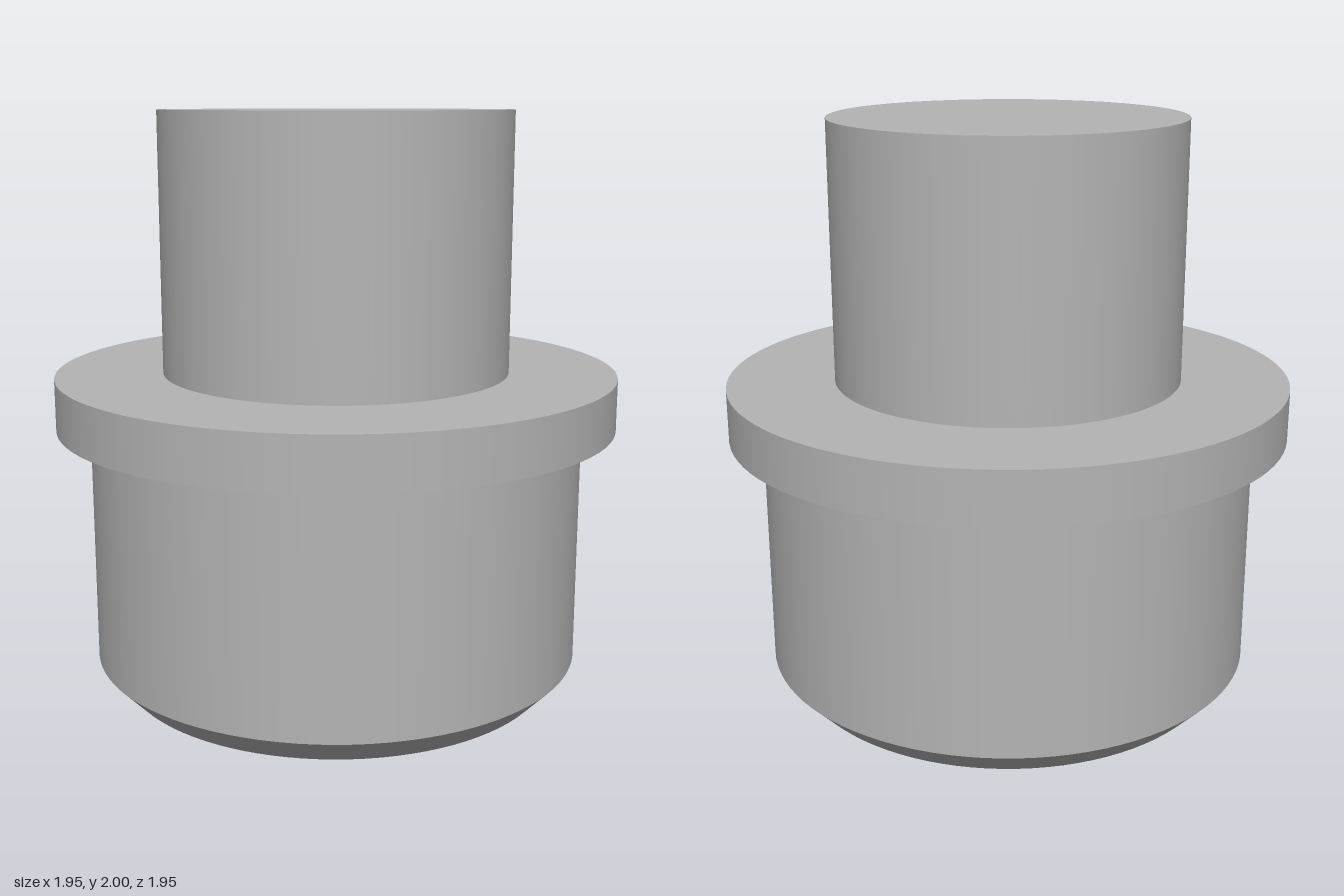
import * as THREE from 'three';
import { mergeGeometries } from 'three/addons/utils/BufferGeometryUtils.js';

const SEGMENTS = 96;

// Revolve each profile edge separately so rims stay crisp and walls stay smooth
function turned(name, profile, material) {
  const bands = profile.slice(1).map((end, i) =>
    new THREE.LatheGeometry(
      [new THREE.Vector2(...profile[i]), new THREE.Vector2(...end)], SEGMENTS));
  const mesh = new THREE.Mesh(mergeGeometries(bands), material);
  mesh.name = name;
  return mesh;
}

export function createModel() {
  const group = new THREE.Group();
  group.name = 'flangedPlug';
  const steel = new THREE.MeshStandardMaterial({ color: 0xb4b4b4 });
  steel.name = 'steel grey';

  const pinR = 0.605, flangeR = 0.976, bodyR = 0.86, footR = 0.77;
  const chamferY = 0.095, flangeY = 0.925, shoulderY = 1.105, topY = 2;

  group.add(
    // Wide lower body with a chamfered foot
    turned('body', [[0, 0], [footR, 0], [bodyR, chamferY], [bodyR, flangeY]], steel),
    // Thin collar with ring-shaped faces
    turned('flange', [[bodyR, flangeY], [flangeR, flangeY], [flangeR, shoulderY], [pinR, shoulderY]], steel),
    // Narrow upper pin with a flat end
    turned('pin', [[pinR, shoulderY], [pinR, topY], [0, topY]], steel),
  );
  return group;
}
